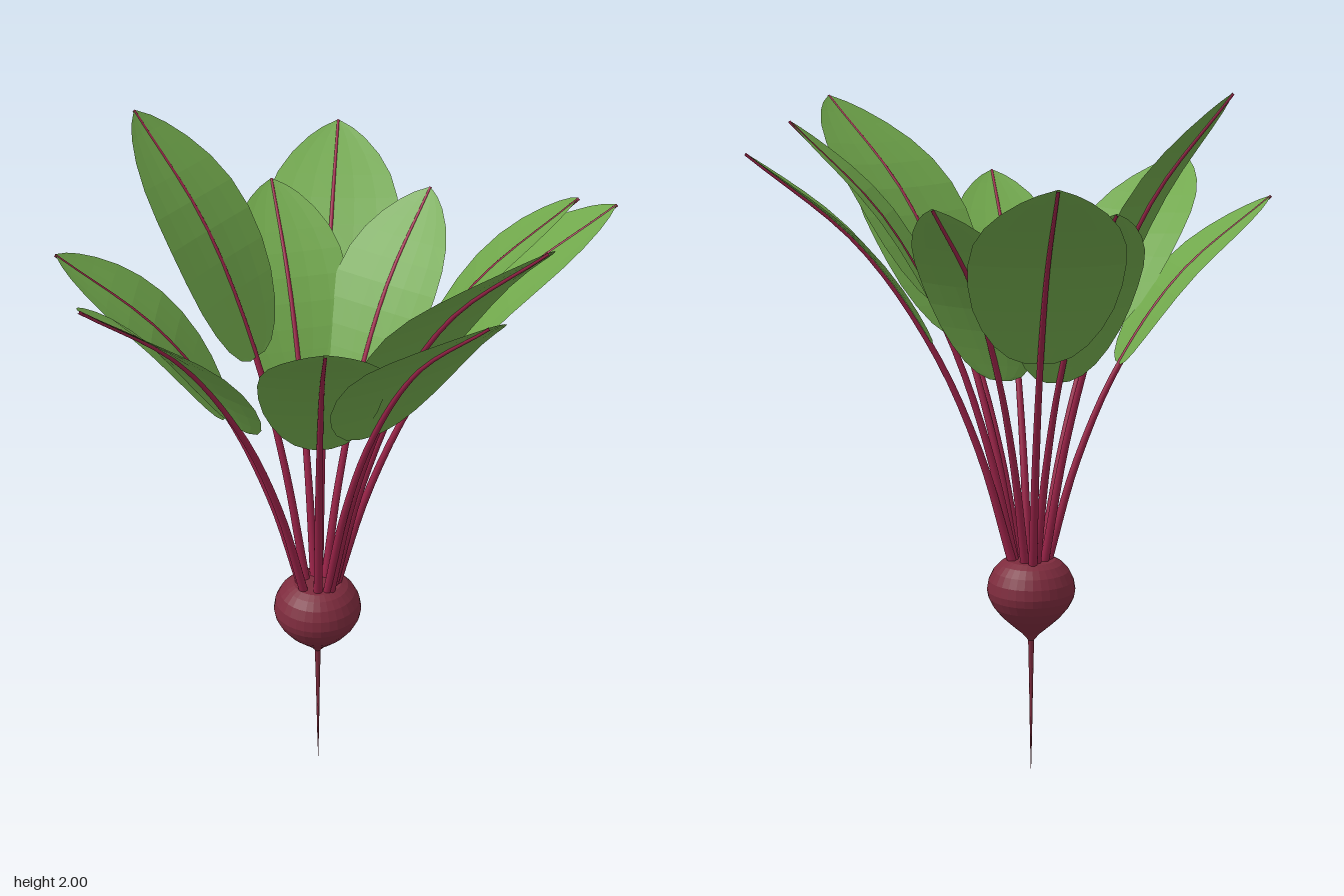
import * as THREE from 'three';

const CENTER = new THREE.Vector3(-0.043, 0, 0.018);
const CROWN_Y = 0.66;

// Each leaf: tip x, tip y, tip z, blade width
const LEAVES = [
  [0.24, 1.79, -0.735, 0.40],
  [-0.02, 1.71, -0.535, 0.34],
  [-0.43, 2.0, -0.40, 0.37],
  [0.39, 1.72, -0.32, 0.33],
  [-0.70, 1.71, -0.175, 0.38],
  [-0.72, 1.80, 0.365, 0.37],
  [-0.20, 1.75, 0.65, 0.32],
  [0.30, 1.98, 0.735, 0.43],
  [0.555, 1.92, 0.32, 0.37],
  [0.715, 1.84, 0.21, 0.38],
  [0.175, 1.80, 0.715, 0.41],
];

// Stalk path as fractions of reach and height: upright first, then bending outward
const ARC = [[0.07, 0], [0.19, 0.28], [0.36, 0.54], [0.62, 0.79], [1, 1]];

// Blade half-width along its length, as a fraction of the full half-width
const OUTLINE = [
  [0, 0.2], [0.025, 0.42], [0.08, 0.62], [0.16, 0.79], [0.26, 0.92], [0.38, 0.99], [0.5, 1],
  [0.62, 0.95], [0.73, 0.83], [0.83, 0.64], [0.91, 0.42], [0.96, 0.23], [1, 0.01],
];
const BLADE_START = 0.49;

function stalkCurve([x, y, z]) {
  return new THREE.CatmullRomCurve3(ARC.map(([r, h]) => new THREE.Vector3(
    CENTER.x + (x - CENTER.x) * r,
    CROWN_Y + (y - CROWN_Y) * h,
    CENTER.z + (z - CENTER.z) * r,
  )));
}

// Tube that tapers from one radius to another
function taperedTube(curve, r0, r1, steps = 20, sides = 16) {
  const geo = new THREE.TubeGeometry(curve, steps, 1, sides, false);
  const pos = geo.attributes.position;
  const v = new THREE.Vector3();
  for (let i = 0; i <= steps; i++) {
    const p = curve.getPointAt(i / steps);
    const r = THREE.MathUtils.lerp(r0, r1, i / steps);
    for (let j = 0; j <= sides; j++) {
      const k = i * (sides + 1) + j;
      v.fromBufferAttribute(pos, k).sub(p).multiplyScalar(r).add(p);
      pos.setXYZ(k, v.x, v.y, v.z);
    }
  }
  return geo;
}

// Gently cupped blade swept along the outer part of the stalk, lying on top of the midrib
function bladeGeometry(curve, width) {
  const cols = 6;
  const positions = [];
  const indices = [];
  OUTLINE.forEach(([s, w], i) => {
    const u = BLADE_START + (1 - BLADE_START) * s;
    const p = curve.getPointAt(u);
    const t = curve.getTangentAt(u);
    const side = new THREE.Vector3(t.z, 0, -t.x).normalize();
    const up = new THREE.Vector3().crossVectors(t, side).normalize();
    for (let j = 0; j <= cols; j++) {
      const a = (j / cols) * 2 - 1;
      const q = p.clone()
        .addScaledVector(side, a * w * width / 2)
        .addScaledVector(up, a * a * w * 0.012 + 0.004 - 0.002 * s);
      positions.push(q.x, q.y, q.z);
      if (i && j) {
        const d = i * (cols + 1) + j;
        const b = d - cols - 1;
        indices.push(b - 1, b, d, b - 1, d, d - 1);
      }
    }
  });
  const geo = new THREE.BufferGeometry();
  geo.setAttribute('position', new THREE.Float32BufferAttribute(positions, 3));
  geo.setIndex(indices);
  geo.computeVertexNormals();
  return geo;
}

export function createModel() {
  const root = new THREE.Group();
  root.name = 'beetroot';

  const skin = new THREE.MeshStandardMaterial({ color: 0x7d2b3d, flatShading: true });
  skin.name = 'beet skin';
  const stem = new THREE.MeshStandardMaterial({ color: 0x9a2348 });
  stem.name = 'stalk red';
  const green = new THREE.MeshStandardMaterial({ color: 0x71a84c, flatShading: true, side: THREE.DoubleSide });
  green.name = 'leaf green';

  const add = (name, geo, mat, parent) => {
    const mesh = new THREE.Mesh(geo, mat);
    mesh.name = name;
    parent.add(mesh);
    return mesh;
  };

  // Bulb with flat crown and pointed underside
  const profile = [
    [0.008, 0.425], [0.026, 0.447], [0.056, 0.473], [0.087, 0.502], [0.111, 0.532], [0.125, 0.56],
    [0.129, 0.582], [0.124, 0.612], [0.11, 0.64], [0.09, 0.661], [0.07, 0.672], [0, 0.672],
  ].map(([r, y]) => new THREE.Vector2(r, y));
  add('bulb', new THREE.LatheGeometry(profile, 32), skin, root).position.copy(CENTER);

  // Thin tap root
  const taproot = [[0, 0], [0.003, 0.12], [0.006, 0.3], [0.009, 0.44]]
    .map(([r, y]) => new THREE.Vector2(r, y));
  add('taproot', new THREE.LatheGeometry(taproot, 16), skin, root).position.copy(CENTER);

  // Stalks run on as midribs to the leaf tips
  LEAVES.forEach((leafData, i) => {
    const leaf = new THREE.Group();
    leaf.name = `leaf${i + 1}`;
    const curve = stalkCurve(leafData);
    add('stalk', taperedTube(curve, 0.013, 0.004), stem, leaf);
    add('blade', bladeGeometry(curve, leafData[3]), green, leaf);
    root.add(leaf);
  });

  return root;
}
